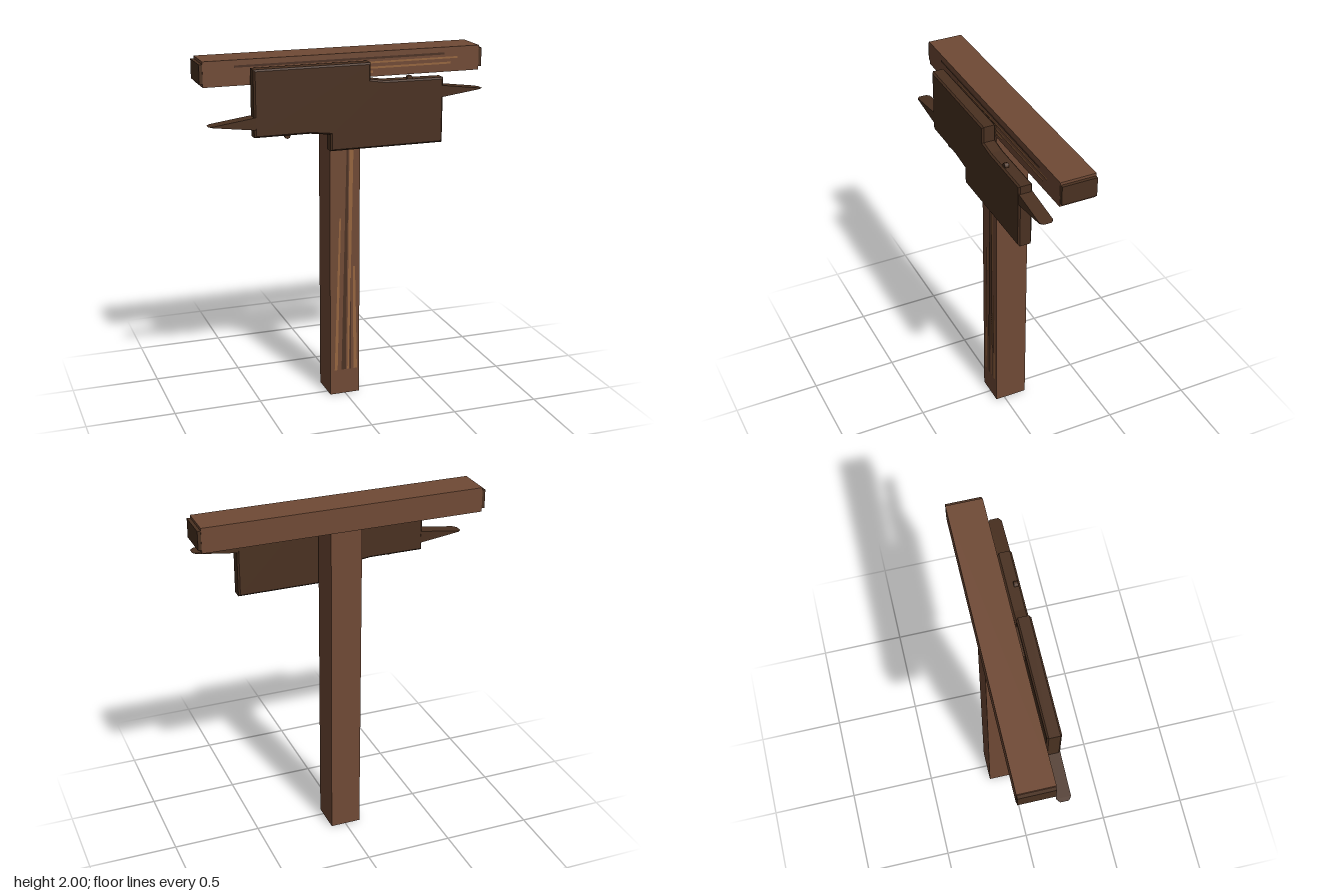
import * as THREE from 'three';
import { ConvexGeometry } from 'three/addons/geometries/ConvexGeometry.js';

const material = (name, color, side = THREE.FrontSide) => {
  const m = new THREE.MeshStandardMaterial({ color, side });
  m.name = name;
  return m;
};

export function createModel() {
  const group = new THREE.Group();
  group.name = 'signpost';
  const wood = material('brown wood', 0x704a35);
  const darkWood = material('dark wood', 0x4a3121);
  const lightGrain = material('light grain', 0x96653f, THREE.DoubleSide);
  const darkGrain = material('dark grain', 0x4b3123, THREE.DoubleSide);

  const add = (name, geometry, mat) => {
    const mesh = new THREE.Mesh(geometry, mat);
    mesh.name = name;
    group.add(mesh);
    return mesh;
  };
  const box = (name, x0, x1, y0, y1, z0, z1, mat) => {
    const g = new THREE.BoxGeometry(x1 - x0, y1 - y0, z1 - z0);
    g.translate((x0 + x1) / 2, (y0 + y1) / 2, (z0 + z1) / 2);
    return add(name, g, mat);
  };
  const outline = (pts) => new THREE.Shape(pts.map(([x, y]) => new THREE.Vector2(x, y)));

  // Upright post and crossbeam with end caps
  box('post', -0.09, 0.086, 0, 1.862, -0.138, 0.052, wood);
  box('crossbeam', -0.79, 0.79, 1.862, 2, -0.145, 0.052, wood);
  box('rightEndCap', -0.808, -0.79, 1.88, 1.985, -0.143, 0.05, darkWood);
  box('leftEndCap', 0.79, 0.808, 1.88, 1.985, -0.143, 0.05, darkWood);

  // Brackets joining the board to the post and beam
  box('lowerBracket', -0.085, 0.08, 1.51, 1.61, 0.05, 0.075, darkWood);
  box('upperBracket', -0.085, 0.08, 1.865, 1.93, 0.05, 0.075, darkWood);

  // Stepped sign board with chamfered rim
  const bevel = 0.009;
  const board = new THREE.ExtrudeGeometry(outline([
    [-0.54, 1.592], [-0.23, 1.592], [-0.115, 1.578], [-0.115, 1.485],
    [0.54, 1.485], [0.54, 1.85], [0.2, 1.853], [0.115, 1.866],
    [0.115, 1.957], [-0.54, 1.957],
  ]), {
    depth: 0.077 - 2 * bevel, bevelEnabled: true, bevelSegments: 1,
    bevelSize: bevel, bevelThickness: bevel, bevelOffset: -bevel,
  });
  board.translate(0, 0, 0.068 + bevel);
  add('signBoard', board, darkWood);

  // Splintered points at both ends, chamfered towards the tip
  const spike = (name, side, low, high, tipX, tipY) => {
    const pts = [];
    const z0 = 0.069, z1 = 0.144;
    for (const z of [z0, z1]) {
      pts.push(new THREE.Vector3(side * 0.53, low, z), new THREE.Vector3(side * 0.53, high, z));
      pts.push(new THREE.Vector3(side * (tipX - 0.02), tipY - 0.003, z));
      pts.push(new THREE.Vector3(side * (tipX - 0.02), tipY + 0.003, z));
    }
    pts.push(new THREE.Vector3(side * tipX, tipY, z0 + 0.015));
    pts.push(new THREE.Vector3(side * tipX, tipY, z1 - 0.015));
    add(name, new ConvexGeometry(pts), darkWood);
  };
  spike('leftSpike', 1, 1.74, 1.806, 0.78, 1.773);
  spike('rightSpike', -1, 1.635, 1.703, 0.785, 1.668);

  // Small knots on the board edges
  for (const [x, y] of [[-0.355, 1.588], [0.345, 1.857]]) {
    const knot = new THREE.CylinderGeometry(0.016, 0.016, 0.022, 8);
    knot.rotateX(Math.PI / 2).translate(x, y, 0.122);
    add('knot', knot, darkWood);
  }

  // Painted wood grain, each streak tapering from one end to the other
  const streak = (name, pts, mat) => {
    const g = new THREE.ShapeGeometry(outline(pts));
    g.translate(0, 0, 0.055);
    add(name, g, mat);
  };
  for (const [x0, x1, top0, top1, top, mat] of [
    [-0.065, -0.047, -0.036, -0.026, 1.07, lightGrain],
    [-0.023, 0.003, 0.008, 0.02, 1.52, darkGrain],
    [0.012, 0.022, 0.024, 0.048, 1.52, lightGrain],
    [0.026, 0.036, 0.03, 0.034, 1.2, darkGrain],
    [0.05, 0.072, 0.046, 0.058, 0.78, lightGrain],
  ]) streak('postGrain', [[x0, 0.15], [x1, 0.15], [top1, top], [top0, top]], mat);

  for (const [x0, x1, y, h, mat] of [
    [-0.62, 0.58, 1.965, 0.012, darkGrain],
    [-0.4, 0.66, 1.941, 0.010, lightGrain],
    [-0.35, 0.62, 1.912, 0.011, lightGrain],
    [-0.45, 0.16, 1.89, 0.014, lightGrain],
  ]) streak('beamGrain', [[x0, y - h / 2], [x1, y - h / 2], [x1, y + h / 2], [x0, y + h / 2]], mat);

  return group;
}
